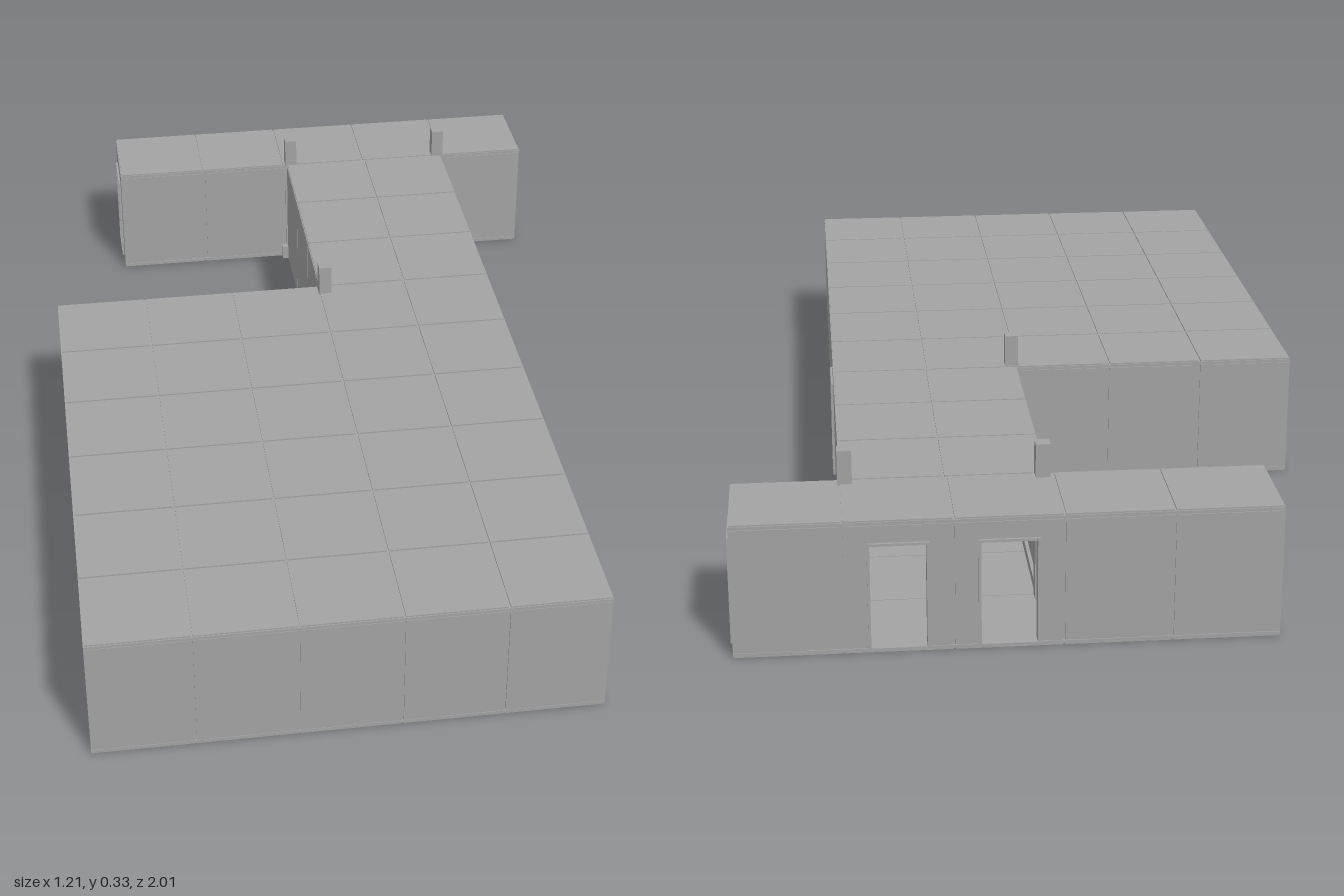
import * as THREE from 'three';

const stone = new THREE.MeshStandardMaterial({ color: 0xa3a3a3 });
stone.name = 'grey panel';

const H = 0.265, SLAB = 0.01, THICK = 0.015, GAP = 0.004;

function box(parent, name, w, h, d, x, y, z) {
  const m = new THREE.Mesh(new THREE.BoxGeometry(w, h, d), stone);
  m.name = name;
  m.position.set(x, y, z);
  parent.add(m);
  return m;
}

function rect(PathType, x0, y0, x1, y1) {
  const p = new PathType();
  p.moveTo(x0, y0);
  p.lineTo(x1, y0);
  p.lineTo(x1, y1);
  p.lineTo(x0, y1);
  p.closePath();
  return p;
}

// Upright plate with an optional opening, from z = back to z = back + depth
function plate(parent, name, outer, hole, x, back, depth) {
  const shape = rect(THREE.Shape, ...outer);
  if (hole) shape.holes.push(rect(THREE.Path, ...hole));
  const geo = new THREE.ExtrudeGeometry(shape, { depth, bevelEnabled: false });
  const m = new THREE.Mesh(geo, stone);
  m.name = name;
  m.position.set(x, 0, back);
  parent.add(m);
}

// Row of wall panels; local +z faces outdoors
function wall([x0, z0], [x1, z1], count, doors) {
  const g = new THREE.Group();
  g.name = 'wall';
  const len = Math.hypot(x1 - x0, z1 - z0), w = len / count;
  for (let i = 0; i < count; i++) {
    const cx = (i + 0.5) * w, half = (w - GAP) / 2;
    const door = doors.includes(i);
    const opening = [-0.052, SLAB + 0.001, 0.052, 0.216];
    plate(g, 'wallPanel', [-half, SLAB, half, H - SLAB], door && opening, cx, -THICK, THICK);
    if (door) {
      plate(g, 'doorFrame', [-0.057, SLAB, 0.057, 0.221], opening, cx, -0.021, 0.026);
    } else {
      box(g, 'skirting', w, 0.02, 0.007, cx, SLAB + 0.01, -THICK - 0.0035);
    }
  }
  // recessed strips behind the joints
  for (let i = 0; i <= count; i++) {
    const sx = Math.min(Math.max(i * w, 0.007), len - 0.007);
    box(g, 'jointStrip', 0.01, H - 2 * SLAB, 0.008, sx, H / 2, -0.007);
  }
  g.position.set(x0, 0, z0);
  g.rotation.y = Math.atan2(z0 - z1, x1 - x0);
  return g;
}

// Grid of square tiles over a thin backing, used for floors and roofs
function tiles(name, x0, x1, nx, z0, z1, nz, y, inward) {
  const g = new THREE.Group();
  g.name = name;
  const w = (x1 - x0) / nx, d = (z1 - z0) / nz;
  for (let i = 0; i < nx; i++) {
    for (let j = 0; j < nz; j++) {
      box(g, name + 'Tile', w - GAP, SLAB, d - GAP,
        x0 + (i + 0.5) * w, y, z0 + (j + 0.5) * d);
    }
  }
  box(g, name + 'Backing', x1 - x0, 0.006, z1 - z0,
    (x0 + x1) / 2, y + inward * 0.001, (z0 + z1) / 2);
  return g;
}

export function createModel() {
  const root = new THREE.Group();
  root.name = 'modularBuilding';

  // hall, corridor and crossing passage
  const rooms = [
    [-0.6, 0.395, 5, -0.2, 1, 6],
    [0, 0.395, 2, -0.8, -0.2, 3],
    [-0.42, 0.6, 5, -1, -0.8, 1],
  ];
  for (const r of rooms) {
    root.add(tiles('floor', ...r, SLAB / 2, 1));
    root.add(tiles('roof', ...r, H - SLAB / 2, -1));
  }

  // outline of the plan: corner, panels to the next corner, panels with doors
  const outline = [
    [[-0.6, 1], 5, []],
    [[0.395, 1], 9, [5]],
    [[0.395, -0.8], 1, []],
    [[0.6, -0.8], 1, [0]],
    [[0.6, -1], 5, [1, 2]],
    [[-0.42, -1], 1, [0]],
    [[-0.42, -0.8], 2, []],
    [[0, -0.8], 3, []],
    [[0, -0.2], 3, []],
    [[-0.6, -0.2], 6, []],
  ];
  outline.forEach(([p, count, doors], i) => {
    root.add(wall(p, outline[(i + 1) % outline.length][0], count, doors));
  });

  // tall posts with square feet at the inner corners
  for (const [x, z, sx, sz] of [[0.01, -0.18, -1, -1], [0.01, -0.81, -1, 1], [0.385, -0.81, 1, 1]]) {
    box(root, 'cornerPost', 0.028, 0.332, 0.028, x, 0.166, z);
    box(root, 'postFoot', 0.036, 0.034, 0.036, x + sx * 0.006, 0.017, z + sz * 0.006);
  }
  return root;
}
